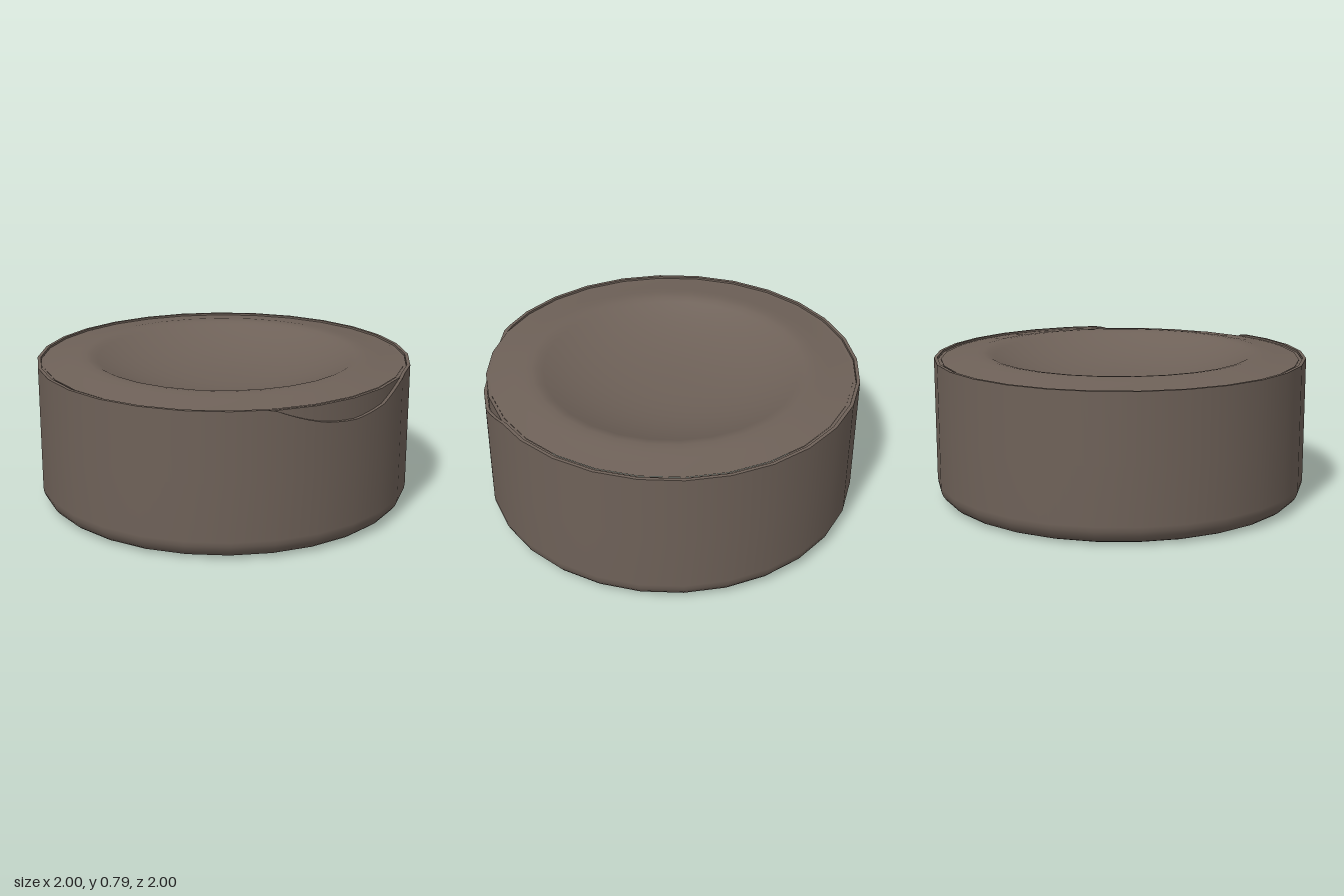
import * as THREE from 'three';
import { mergeGeometries } from 'three/addons/utils/BufferGeometryUtils.js';

const SIDES = 28;
const SUB = 4;

// Lathe several profiles (sharp edges between them) onto a 28-sided outline
// while keeping the smooth radial normals. Profiles run counterclockwise.
function turned(profiles, scoop = false) {
  const step = (Math.PI * 2) / SIDES;
  const parts = profiles.map((profile) => {
    const points = profile.map(([r, y]) => new THREE.Vector2(r, y));
    const geometry = new THREE.LatheGeometry(points, SIDES * SUB);
    const pos = geometry.attributes.position;
    for (let i = 0; i < pos.count; i++) {
      const column = Math.floor(i / points.length) % SUB;
      const offset = (column / SUB - 0.5) * step;
      const k = Math.cos(step / 2) / Math.cos(offset);
      const x = pos.getX(i) * k;
      const z = pos.getZ(i) * k;
      let y = pos.getY(i);
      // thumb notch: the rim dips at the front
      if (scoop && z > 0 && y > 0.7) y -= 0.113 * Math.max(0, 1 - (x / 0.45) ** 2);
      pos.setXYZ(i, x, y, z);
    }
    return geometry;
  });
  return mergeGeometries(parts);
}

// Quarter round from the floor (radius 0.9) up to a wall of radius 0.9 + size
function footRound(size) {
  return Array.from({ length: 7 }, (_, i) => {
    const a = (i / 6) * Math.PI / 2;
    return [0.9 + size * Math.sin(a), 0.1 - size * Math.cos(a)];
  });
}

export function createModel() {
  const group = new THREE.Group();
  const brown = new THREE.MeshStandardMaterial({ color: 0x6e6158 });
  brown.name = 'warm grey brown';

  const add = (name, geometry) => {
    const mesh = new THREE.Mesh(geometry, brown);
    mesh.name = name;
    group.add(mesh);
  };

  // Thin cup: rounded foot, straight wall, flat rim, open hole in the floor
  add('outerShell', turned([
    [[0.74, 0], [0.9, 0]],
    [...footRound(0.1), [1, 0.4], [1, 0.765]],
    [[1, 0.765], [0.982, 0.765]],
    [[0.982, 0.765], [0.982, 0.4], ...footRound(0.082).reverse()],
    [[0.9, 0.018], [0.74, 0.003]],
    [[0.74, 0.003], [0.74, 0]],
  ], true));

  // Band inside the rim that shows behind the notch
  add('innerBand', turned([
    [[0.963, 0.6], [0.98, 0.6]],
    [[0.98, 0.6], [0.98, 0.755]],
    [[0.98, 0.755], [0.963, 0.755]],
    [[0.963, 0.755], [0.963, 0.6]],
  ]));

  // Thin lid: gently raised shoulder around a round bowl
  const lidTop = [[0.963, 0.757], [0.9, 0.765], [0.84, 0.774], [0.78, 0.783], [0.74, 0.785], [0.71, 0.781]];
  for (let i = 0; i <= 14; i++) {
    const t = 1 - i / 14;
    lidTop.push([0.68 * t, 0.642 + 0.126 * t ** 2.4]);
  }
  const lidUnderside = lidTop.map(([r, y]) => [r, y - 0.008]).reverse();
  add('dishedLid', turned([lidTop, lidUnderside]));

  return group;
}
